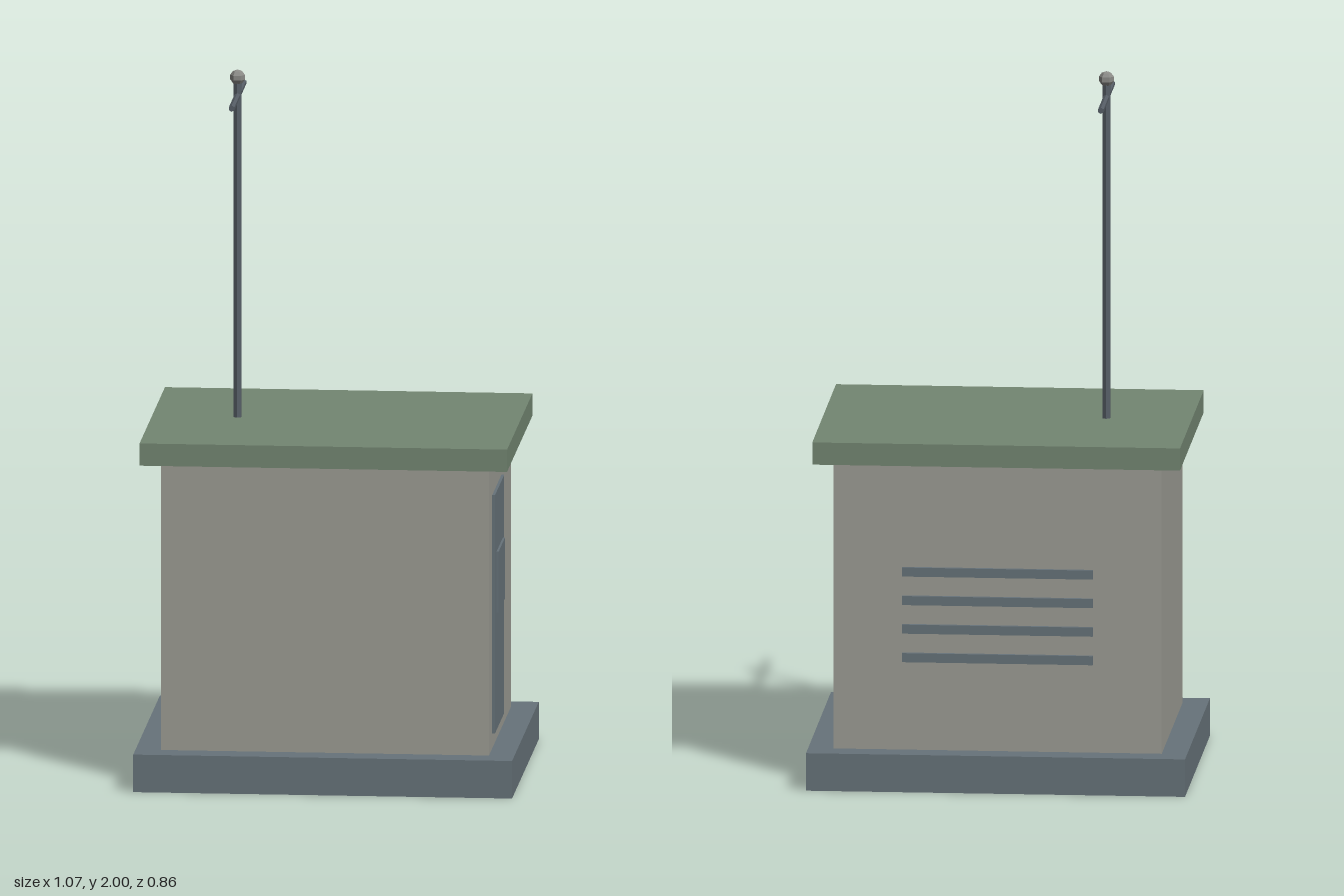
import * as THREE from 'three';

const mat = (name, color) => {
  const m = new THREE.MeshStandardMaterial({ color, flatShading: true });
  m.name = name;
  return m;
};

export function createModel() {
  const wall = mat('concrete', 0x9c9c94);
  const steel = mat('blueGreySteel', 0x67737a);
  const green = mat('roofGreen', 0x738672);
  const dark = mat('darkMetal', 0x565e66);
  const knob = mat('lightMetal', 0x8c8c88);

  const hut = new THREE.Group();
  hut.name = 'equipmentHut';

  const add = (name, geometry, material, x, y, z) => {
    const mesh = new THREE.Mesh(geometry, material);
    mesh.name = name;
    mesh.position.set(x, y, z);
    hut.add(mesh);
    return mesh;
  };
  // Box given by its lower and upper corners
  const box = (name, material, [x0, y0, z0], [x1, y1, z1]) =>
    add(name, new THREE.BoxGeometry(x1 - x0, y1 - y0, z1 - z0), material,
      (x0 + x1) / 2, (y0 + y1) / 2, (z0 + z1) / 2);

  // Building
  box('plinth', steel, [-0.537, 0, -0.432], [0.537, 0.108, 0.432]);
  box('walls', wall, [-0.465, 0.108, -0.358], [0.465, 0.936, 0.358]);
  box('roofSlab', green, [-0.521, 0.936, -0.411], [0.521, 1, 0.411]);

  // Door with raised panel on the +x side
  box('door', steel, [0.46, 0.151, -0.046], [0.473, 0.837, 0.252]);
  box('doorPanel', steel, [0.47, 0.49, 0.001], [0.479, 0.665, 0.205]);

  // Vent slats on the back
  for (let i = 0; i < 4; i++) {
    const y = 0.375 + i * 0.0823;
    box('ventSlat', steel, [-0.27, y - 0.013, -0.369], [0.27, y + 0.013, -0.355]);
  }

  // Antenna mast, crossbar and tip
  const mastX = -0.279;
  add('mast', new THREE.CylinderGeometry(0.0125, 0.0125, 0.98, 6), dark, mastX, 1.488, 0);
  const bar = add('crossbar', new THREE.CylinderGeometry(0.009, 0.009, 0.386, 6), dark, mastX, 1.925, 0);
  bar.rotation.x = Math.PI / 2;
  add('mastTip', new THREE.SphereGeometry(0.022, 6, 5), knob, mastX, 1.978, 0);

  return hut;
}
